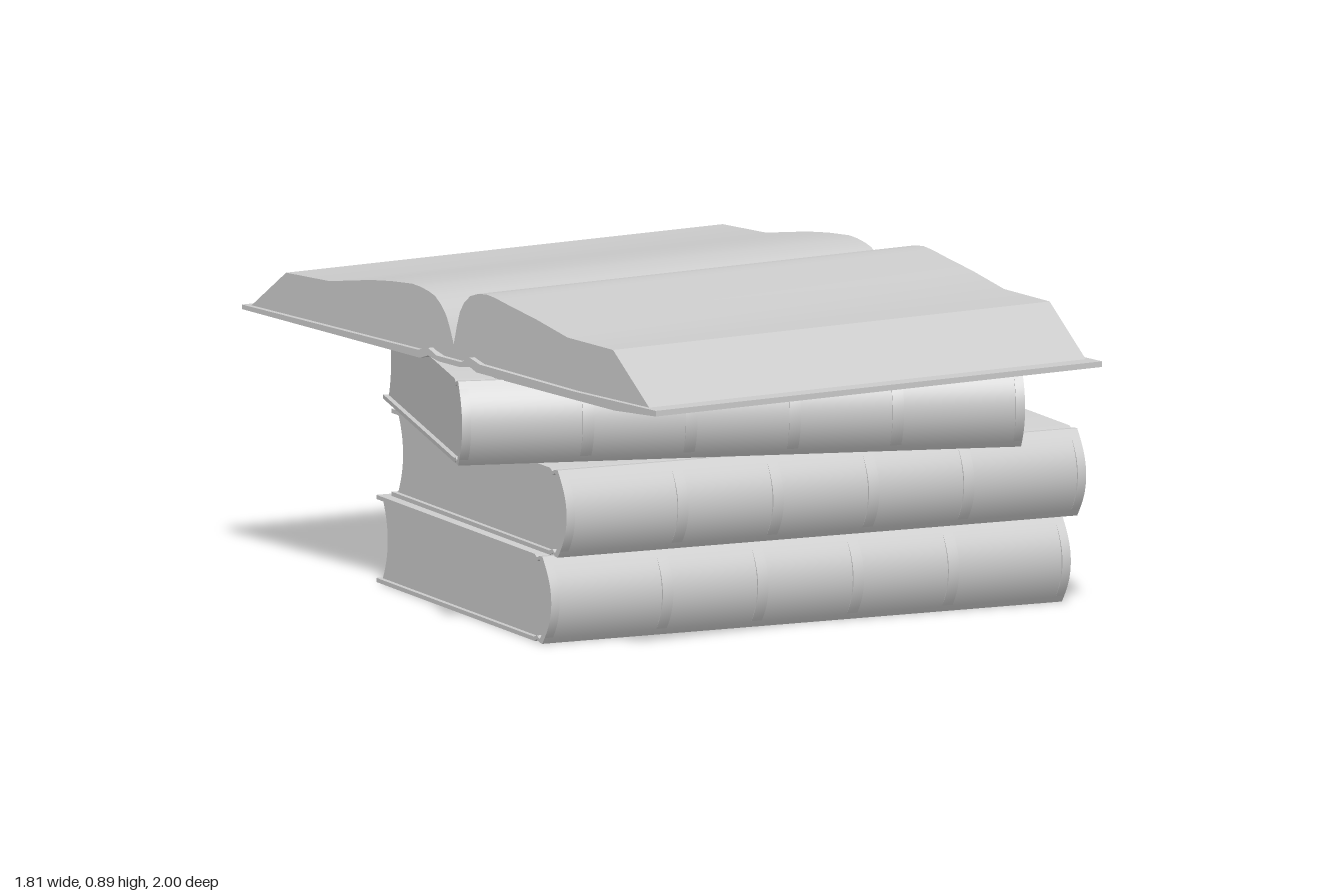
import * as THREE from 'three';
import { toCreasedNormals } from 'three/addons/utils/BufferGeometryUtils.js';

const material = new THREE.MeshStandardMaterial({ color: 0xcccccc });

// Extrudes a (z, y) cross-section along x, centred on x
function section(name, points, length, x = 0) {
  const shape = new THREE.Shape(points.map(([z, y]) => new THREE.Vector2(z, y)));
  const geometry = new THREE.ExtrudeGeometry(shape, { depth: length, bevelEnabled: false, steps: 1 });
  geometry.translate(0, 0, -length / 2);
  geometry.rotateY(-Math.PI / 2);
  const mesh = new THREE.Mesh(toCreasedNormals(geometry, 0.5), material);
  mesh.name = name;
  mesh.position.x = x;
  return mesh;
}

// Bowed line from bottom to top: z0 at both ends, z0 + bulge in the middle
function bow(z0, bulge, y0, y1, n = 14) {
  return Array.from({ length: n + 1 }, (_, i) => {
    const s = (2 * i) / n - 1;
    return [z0 + bulge * (1 - s * s), y0 + ((y1 - y0) * (s + 1)) / 2];
  });
}

const LENGTH = 1.49, BACK = -0.535, BOARD = 0.011;

function closedBook(name, height, x, y, z, turn) {
  const book = new THREE.Group();
  book.name = name;
  const h = height, t = BOARD;

  // Boards and rounded spine in one C-shaped section, with hinge grooves
  const flip = (pts) => pts.map(([pz, py]) => [pz, h - py]).reverse();
  const outer = [[BACK, 0], [0.435, 0], [0.45, 0.007], [0.465, 0.001]];
  const inner = [[BACK, t], [0.43, t], [0.45, t + 0.006], [0.462, t]];
  const innerSpine = bow(0.468, 0.047, t, h - t);
  book.add(section('cover', [
    ...outer, ...bow(0.483, 0.05, 0, h), ...flip(outer),
    ...flip(inner).reverse(), ...innerSpine.reverse(), ...inner.slice().reverse(),
  ], LENGTH));

  // Page block: round at the spine, hollow at the fore-edge
  book.add(section('pages', [
    ...bow(0.455, 0.047, t, h - t),
    ...bow(BACK + 0.012, 0.03, t, h - t).reverse(),
  ], LENGTH - 0.026));

  // Raised bands across the spine
  const band = [...bow(0.483, 0.055, 0.002, h - 0.002), ...bow(0.475, 0.05, 0.006, h - 0.006).reverse()];
  for (const bx of [-0.41, -0.137, 0.137, 0.41]) book.add(section('spineBand', band, 0.03, bx));
  for (const side of [-1, 1]) book.add(section('spineEndBand', band, 0.024, side * (LENGTH / 2 - 0.012)));

  book.position.set(x, y, z);
  book.rotation.y = turn;
  return book;
}

function openBook() {
  const book = new THREE.Group();
  book.name = 'openBook';

  // Boards lying open, the front one lifted a little at its edge
  book.add(section('openCover', [
    [1, 0.695], [1, 0.71], [0.6, 0.702], [0.15, 0.705], [0.1, 0.716], [0.06, 0.698],
    [-0.06, 0.698], [-0.1, 0.712], [-0.15, 0.7], [-1, 0.692],
    [-1, 0.68], [-0.14, 0.68], [-0.1, 0.692], [-0.05, 0.684],
    [0.05, 0.684], [0.1, 0.692], [0.14, 0.68], [0.8, 0.681],
  ], 1.375));

  // Two stacks of leaves meeting in the gutter
  book.add(section('openPages', [
    [0.95, 0.705], [0.77, 0.835], [0.55, 0.835], [0.4, 0.86], [0.27, 0.877], [0.2, 0.887], [0.16, 0.89],
    [0.12, 0.886], [0.08, 0.874], [0.05, 0.852], [0.03, 0.825], [0.015, 0.785], [0, 0.735],
    [-0.018, 0.775], [-0.035, 0.805], [-0.06, 0.83], [-0.09, 0.849], [-0.12, 0.857], [-0.16, 0.863], [-0.2, 0.865],
    [-0.3, 0.857], [-0.4, 0.845], [-0.6, 0.812], [-0.81, 0.803], [-0.98, 0.69],
    [-0.15, 0.698], [-0.1, 0.71], [-0.04, 0.697], [0.04, 0.697], [0.1, 0.714], [0.15, 0.703], [0.6, 0.7],
  ], 1.345));

  book.position.x = -0.085;
  return book;
}

export function createModel() {
  const group = new THREE.Group();
  group.name = 'bookStack';
  group.add(
    closedBook('bottomBook', 0.23, 0.07, 0, 0.005, -0.13),
    closedBook('middleBook', 0.23, 0.095, 0.23, 0.04, -0.13),
    closedBook('upperBook', 0.222, -0.015, 0.46, 0.045, -0.375),
    openBook(),
  );
  return group;
}
